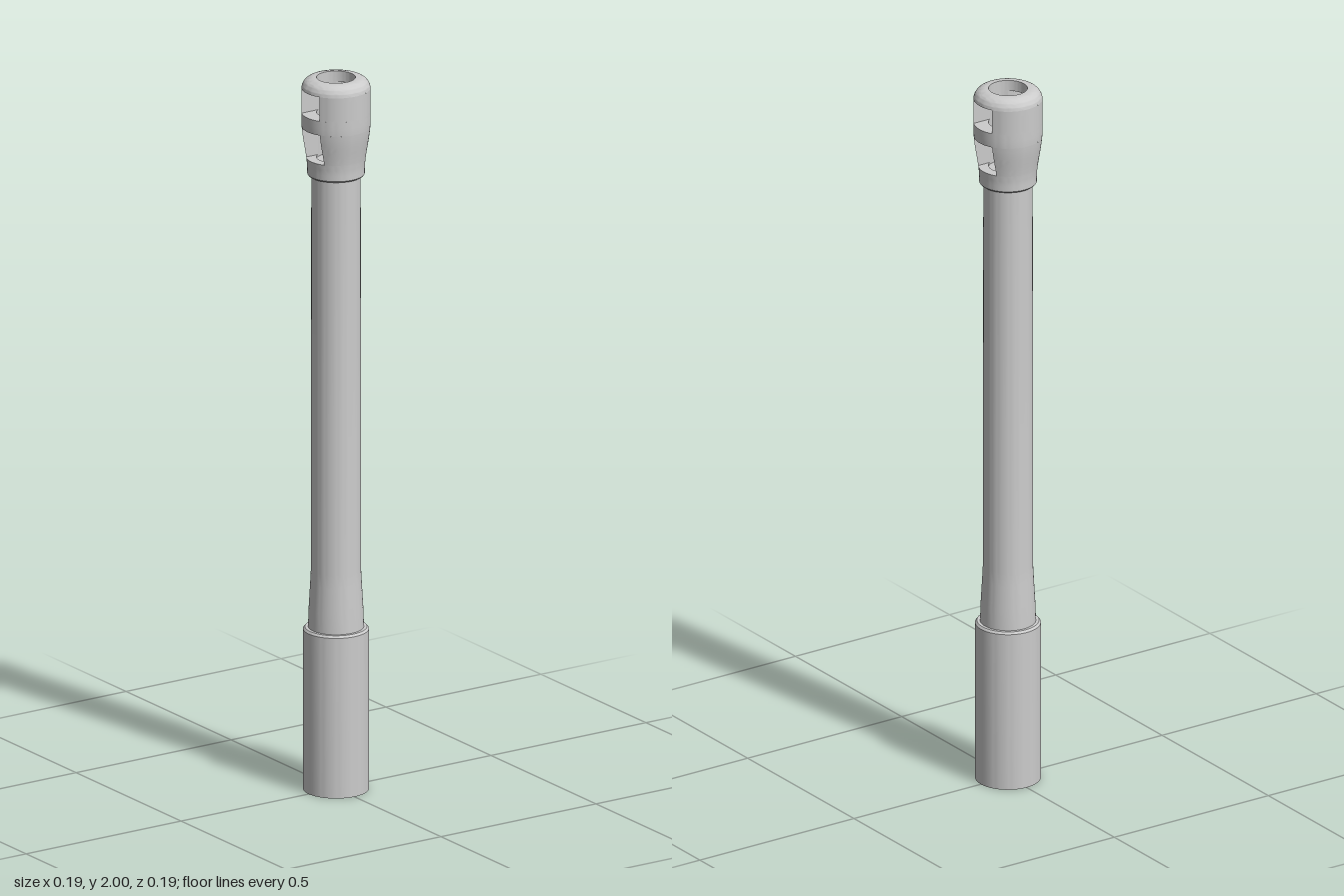
import * as THREE from 'three';
import { toCreasedNormals } from 'three/addons/utils/BufferGeometryUtils.js';

const BORE = 0.052, HALF_SLOT = 0.043, SEG = 64;
const material = new THREE.MeshStandardMaterial({ color: 0xcccccc });

function mesh(name, geometry) {
  const m = new THREE.Mesh(toCreasedNormals(geometry, 0.5), material);
  m.name = name;
  return m;
}

const lathe = (name, points) =>
  mesh(name, new THREE.LatheGeometry(points.map(([r, y]) => new THREE.Vector2(r, y)), SEG));

// Outer radius of the muzzle brake: narrow collar, flared body, rounded crown
function brakeRadius(y) {
  const r = 0.077 + 0.0155 * THREE.MathUtils.smoothstep(y, 1.74, 1.88);
  const t = Math.max(0, (y - 1.968) / 0.032);
  return r - 0.032 * (1 - Math.sqrt(Math.max(0, 1 - t * t)));
}

const heights = (y0, y1, n) => Array.from({ length: n + 1 }, (_, i) => y0 + (y1 - y0) * i / n);

// Solid ring of the brake between two heights
function ring(name, y0, y1, n) {
  const outer = heights(y0, y1, n).map(y => [brakeRadius(y), y]);
  return lathe(name, [[BORE, y0], ...outer, [BORE, y1], [BORE, y0]]);
}

// Wall beside a side window: outer arc, flat cheeks and bore arc lofted upwards
function wall(name, y0, y1) {
  const n = 20, rows = heights(y0, y1, 8), position = [], index = [];
  for (const y of rows) {
    const R = brakeRadius(y);
    const a = Math.asin(HALF_SLOT / R), b = Math.asin(HALF_SLOT / BORE);
    for (const [r, from, to] of [[R, a, Math.PI - a], [BORE, Math.PI - b, b]]) {
      for (let i = 0; i <= n; i++) {
        const t = from + (to - from) * i / n;
        position.push(r * Math.cos(t), y, r * Math.sin(t));
      }
    }
  }
  const loop = 2 * (n + 1);
  for (let k = 0; k < rows.length - 1; k++) {
    for (let j = 0; j < loop; j++) {
      const p = k * loop + j, q = k * loop + (j + 1) % loop;
      index.push(p, p + loop, q, q, p + loop, q + loop);
    }
  }
  const g = new THREE.BufferGeometry();
  g.setAttribute('position', new THREE.Float32BufferAttribute(position, 3));
  g.setIndex(index);
  return mesh(name, g);
}

export function createModel() {
  const model = new THREE.Group();
  model.name = 'barrel';

  // Thick sleeve at the base
  model.add(lathe('sleeve', [[0, 0], [0.088, 0], [0.088, 0.45], [0.083, 0.456], [0, 0.456]]));

  // Long tube with a slight flare where it leaves the sleeve
  model.add(lathe('tube', [
    [0.075, 0.45], [0.073, 0.51], [0.069, 0.58], [0.067, 0.62], [0.066, 1.77], [0, 1.77],
  ]));

  // Muzzle brake: collar, baffle and crown joined by walls, open to both sides
  const brake = new THREE.Group();
  brake.name = 'muzzleBrake';
  brake.add(lathe('collar', [
    [0.06, 1.727], [0.074, 1.727], [0.077, 1.731],
    ...heights(1.745, 1.776, 4).map(y => [brakeRadius(y), y]), [BORE, 1.776], [BORE, 1.76],
  ]));
  brake.add(ring('baffle', 1.862, 1.902, 4));
  brake.add(ring('crown', 1.97, 2, 12));
  for (const [y0, y1] of [[1.776, 1.862], [1.902, 1.97]]) {
    for (const side of ['front', 'back']) {
      const w = wall(side + 'Wall', y0, y1);
      if (side === 'back') w.rotation.y = Math.PI;
      brake.add(w);
    }
  }
  model.add(brake);
  return model;
}
